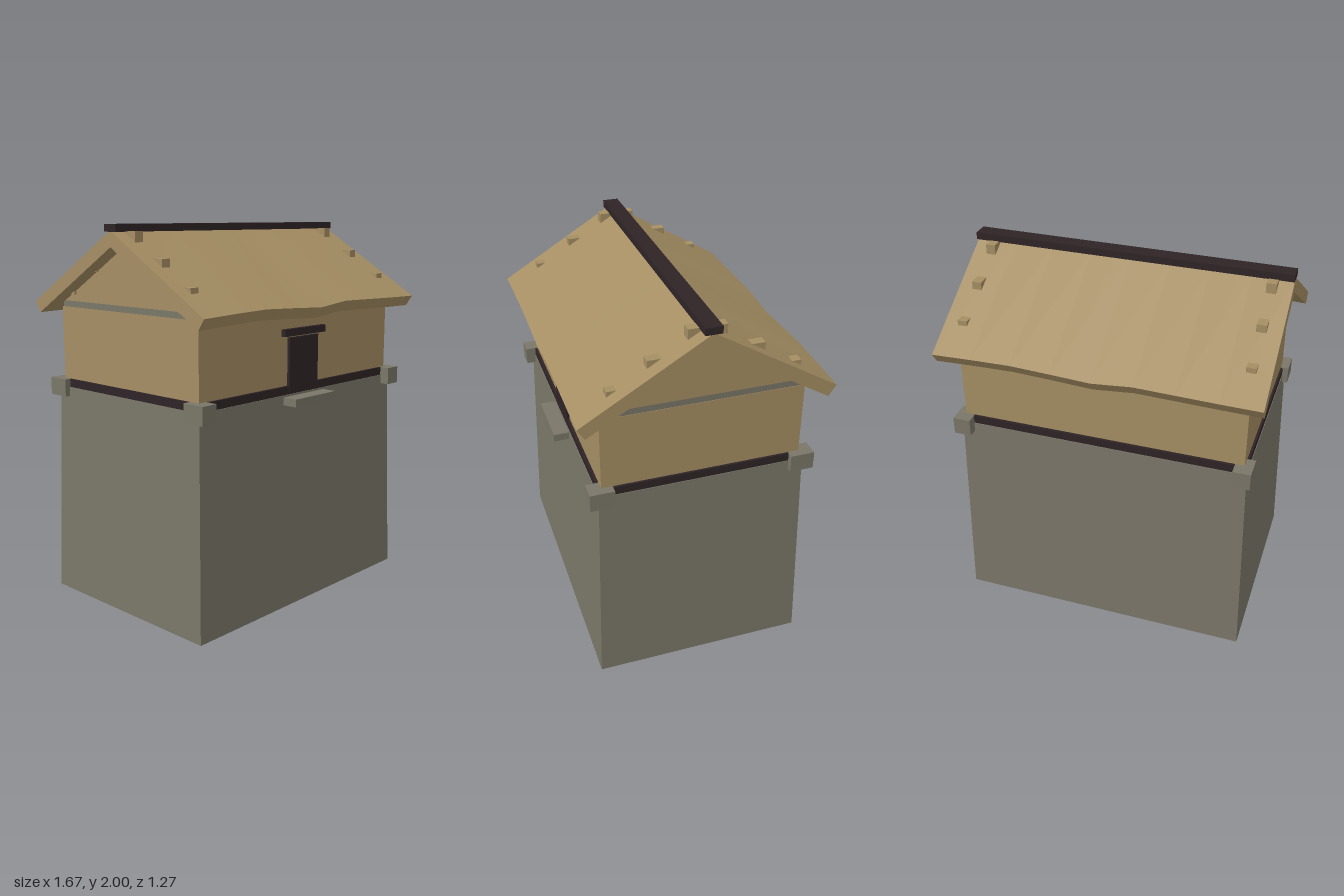
import * as THREE from 'three';

const mat = (name, color, side = THREE.FrontSide) => {
  const m = new THREE.MeshStandardMaterial({ color, side });
  m.name = name;
  return m;
};

export function createModel() {
  const stone = mat('stone', 0x7a7668, THREE.DoubleSide);
  const plaster = mat('tan clay', 0xa58e63);
  const darkWood = mat('dark wood', 0x2e2426);
  const model = new THREE.Group();
  model.name = 'storehouse';

  const add = (name, geometry, material, parent = model) => {
    const mesh = new THREE.Mesh(geometry, material);
    mesh.name = name;
    parent.add(mesh);
    return mesh;
  };
  // Box given by its lower and upper corners
  const block = (name, material, [x0, y0, z0], [x1, y1, z1], parent) =>
    add(name, new THREE.BoxGeometry(x1 - x0, y1 - y0, z1 - z0)
      .translate((x0 + x1) / 2, (y0 + y1) / 2, (z0 + z1) / 2), material, parent);

  // Tapered stone base, open underneath
  const base = new THREE.BoxGeometry(2, 1.14, 2).translate(0, 0.57, 0);
  const p = base.attributes.position;
  for (let i = 0; i < p.count; i++) {
    const top = p.getY(i) > 0.5;
    p.setX(i, p.getX(i) * (top ? 0.765 : 0.795));
    p.setZ(i, p.getZ(i) * (top ? 0.53 : 0.56));
  }
  const index = Array.from(base.index.array);
  index.splice(18, 6); // bottom face
  base.setIndex(index);
  base.computeVertexNormals();
  add('stoneBase', base, stone);

  // Sill, walls and wall plate
  block('sill', darkWood, [-0.762, 1.14, -0.527], [0.762, 1.183, 0.527]);
  block('walls', plaster, [-0.75, 1.183, -0.513], [0.75, 1.568, 0.513]);
  block('wallPlate', stone, [-0.748, 1.568, -0.505], [0.748, 1.6, 0.505]);

  // Gable triangle under the roof
  const tri = new THREE.Shape([
    new THREE.Vector2(-0.49, 1.6), new THREE.Vector2(0.49, 1.6), new THREE.Vector2(0, 1.9),
  ]);
  add('gables', new THREE.ExtrudeGeometry(tri, { depth: 1.496, bevelEnabled: false })
    .translate(0, 0, -0.748).rotateY(Math.PI / 2), plaster);

  // Corner stones
  for (const sx of [-1, 1]) for (const sz of [-1, 1]) {
    const corner = add('cornerStone', new THREE.BoxGeometry(0.093, 0.093, 0.125), stone);
    corner.position.set(sx * 0.748, 1.137, sz * 0.518);
  }

  // Entrance
  block('door', darkWood, [-0.115, 1.145, 0.5], [0.115, 1.432, 0.529]);
  block('lintel', darkWood, [-0.163, 1.44, 0.5], [0.163, 1.477, 0.538]);
  block('doorStep', stone, [-0.163, 1.09, 0.51], [0.163, 1.13, 0.612]);

  // Roof slopes with an uneven eave; the back one is the front one turned round
  const wave = [0, 0.008, 0.013, 0.004, -0.007, 0.013, 0.008, 0.003, 0];
  const makeSlope = () => {
    const g = new THREE.BoxGeometry(1.67, 1, 1, 8, 1, 1);
    const q = g.attributes.position;
    for (let i = 0; i < q.count; i++) {
      const top = q.getY(i) > 0, eave = q.getZ(i) > 0;
      const w = wave[Math.round((q.getX(i) / 1.67 + 0.5) * 8)];
      q.setZ(i, eave ? (top ? 0.635 : 0.597) : 0);
      q.setY(i, eave ? (top ? 1.592 : 1.536) + w : (top ? 1.97 : 1.89));
    }
    g.computeVertexNormals();
    return g.toNonIndexed();
  };
  for (const [name, turn] of [['frontRoof', 0], ['backRoof', Math.PI]]) {
    const half = new THREE.Group();
    half.name = name;
    half.rotation.y = turn;
    model.add(half);
    add('roofSlope', makeSlope(), plaster, half);
    // Stepped blocks near both roof ends
    for (const x of [-0.735, 0.735]) for (let i = 0; i < 3; i++) {
      const z = 0.055 + i * 0.19, y = 1.926 - i * 0.125;
      block('roofBlock', plaster, [x - 0.025, y - 0.04, z - 0.04], [x + 0.025, y + 0.04, z + 0.04], half);
    }
  }
  block('ridgeBeam', darkWood, [-0.836, 1.963, -0.042], [0.836, 2, 0.042]);

  return model;
}
